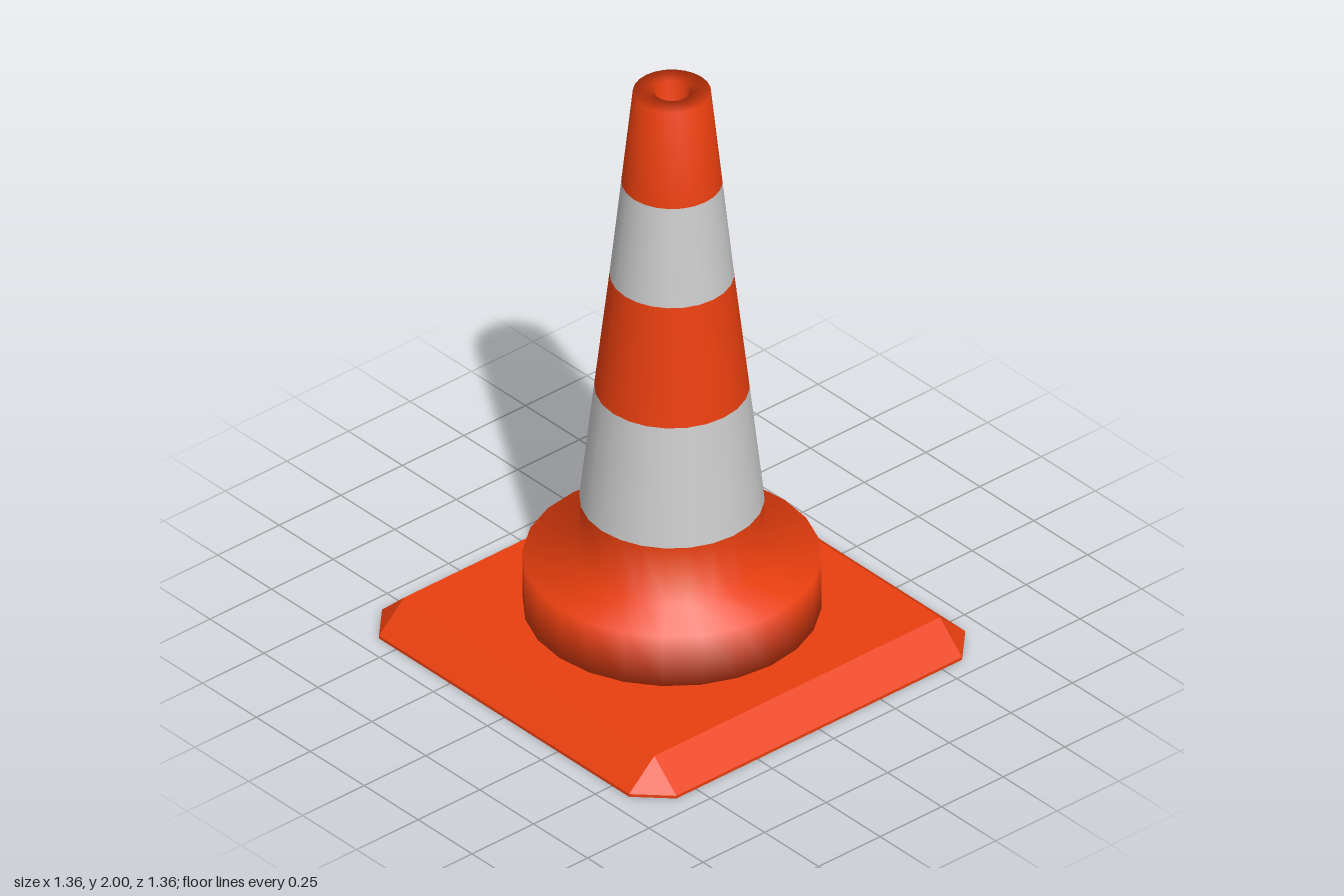
import * as THREE from 'three';
import { ConvexGeometry } from 'three/addons/geometries/ConvexGeometry.js';

const orange = new THREE.MeshStandardMaterial({ color: 0xea3f0f });
const grey = new THREE.MeshStandardMaterial({ color: 0xcccccc });

// Smooth turned part from [radius, height] pairs, listed from the bottom up
function turned(name, profile, material) {
  const points = profile.map(([r, y]) => new THREE.Vector2(r, y));
  const mesh = new THREE.Mesh(new THREE.LatheGeometry(points, 24), material);
  mesh.name = name;
  return mesh;
}

// Square plate: clipped corners at the foot, sloping in to a square top
function basePlate() {
  const inner = 0.58, outer = 0.682, points = [];
  for (const sx of [-1, 1]) {
    for (const sz of [-1, 1]) {
      for (const y of [0, 0.01]) {
        points.push(new THREE.Vector3(sx * outer, y, sz * inner));
        points.push(new THREE.Vector3(sx * inner, y, sz * outer));
      }
      points.push(new THREE.Vector3(sx * inner, 0.105, sz * inner));
    }
  }
  const mesh = new THREE.Mesh(new ConvexGeometry(points), orange);
  mesh.name = 'basePlate';
  return mesh;
}

export function createModel() {
  const cone = new THREE.Group();
  cone.name = 'trafficCone';
  cone.add(basePlate());

  // Wide foot ring blending into the straight collar
  cone.add(turned('footRing', [[0, 0.12], [0.457, 0.12], [0.457, 0.3], [0.282, 0.3], [0.282, 0.51]], orange));

  // Tapering striped body
  cone.add(turned('lowerStripe', [[0.284, 0.51], [0.238, 0.92]], grey));
  cone.add(turned('middleBand', [[0.238, 0.92], [0.191, 1.33]], orange));
  cone.add(turned('upperStripe', [[0.191, 1.33], [0.155, 1.67]], grey));

  // Tip with a narrow hole down its middle
  cone.add(turned('tip', [[0.155, 1.67], [0.12, 2], [0.055, 2], [0.055, 1.7], [0, 1.7]], orange));
  return cone;
}
